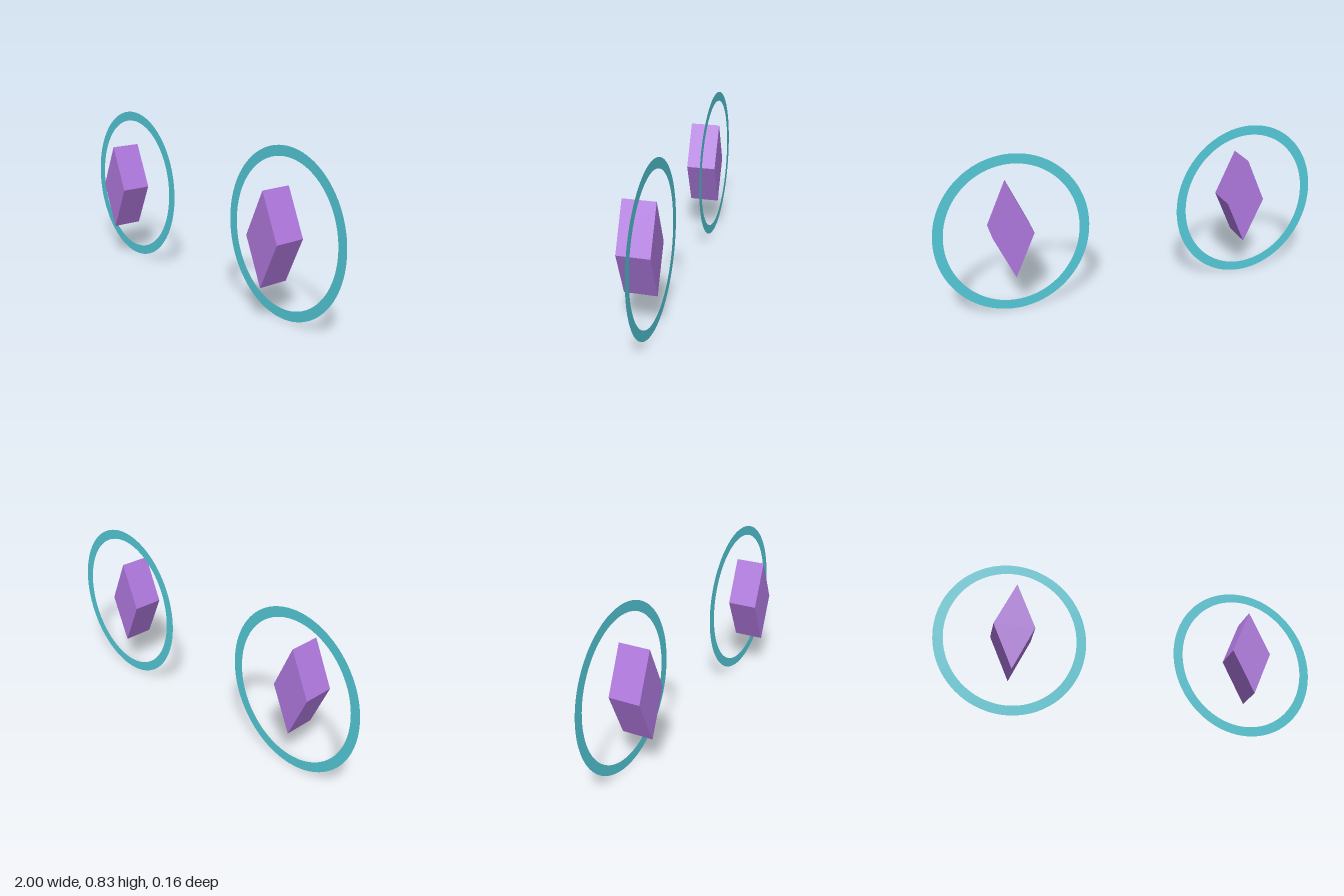
import * as THREE from 'three';

const CENTER_X = 0.617, CENTER_Y = 0.413;

export function createModel() {
  const teal = new THREE.MeshStandardMaterial({ color: 0x55cbd9, side: THREE.DoubleSide });
  teal.name = 'teal';
  const purple = new THREE.MeshStandardMaterial({ color: 0xb079df });
  purple.name = 'purple';

  // Flat oval band
  const oval = new THREE.Shape();
  oval.absellipse(0, 0, 0.383, 0.413, 0, Math.PI * 2, false, 0);
  const hole = new THREE.Path();
  hole.absellipse(0, 0, 0.333, 0.363, 0, Math.PI * 2, true, 0);
  oval.holes.push(hole);
  const ringGeometry = new THREE.ShapeGeometry(oval, 48);

  // Tall diamond prism
  const diamond = new THREE.Shape([
    new THREE.Vector2(0.102, 0),
    new THREE.Vector2(0, 0.229),
    new THREE.Vector2(-0.102, 0),
    new THREE.Vector2(0, -0.229),
  ]);
  const pupilGeometry = new THREE.ExtrudeGeometry(diamond, { depth: 0.16, bevelEnabled: false });
  pupilGeometry.translate(0, 0, -0.08);

  const model = new THREE.Group();
  model.name = 'eyes';
  for (const [side, sign] of [['left', 1], ['right', -1]]) {
    const eye = new THREE.Group();
    eye.name = side + 'Eye';
    eye.position.set(sign * CENTER_X, CENTER_Y, 0);

    const ring = new THREE.Mesh(ringGeometry, teal);
    ring.name = side + 'Ring';
    ring.position.z = -0.06; // the band sits near the back of the prism

    const pupil = new THREE.Mesh(pupilGeometry, purple);
    pupil.name = side + 'Pupil';

    eye.add(ring, pupil);
    model.add(eye);
  }
  return model;
}
